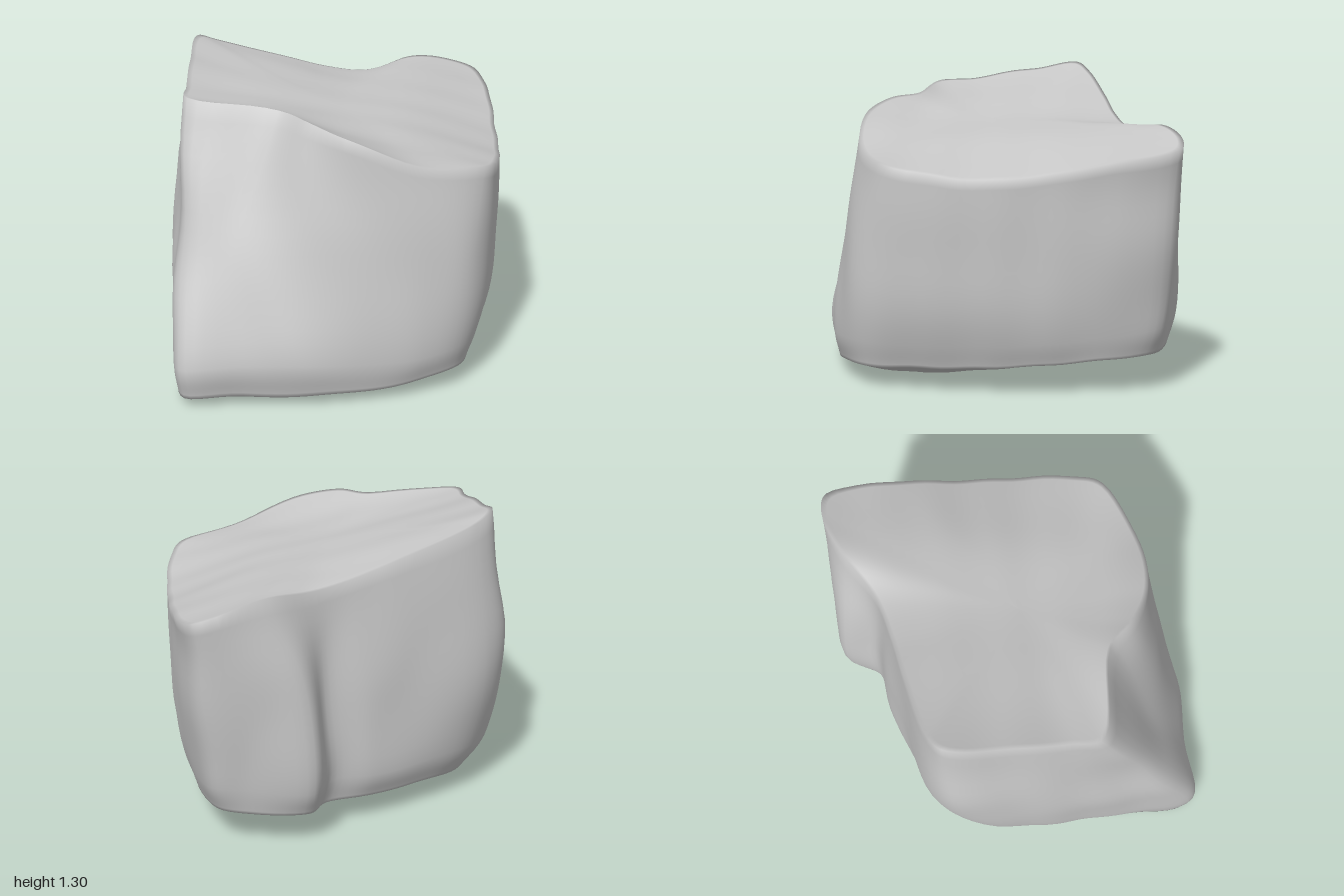
import * as THREE from 'three';

// Rock outline at four levels, front corner first, then round by +x, back and -x
const BASE = [
  [0, .045, .98], [.18, .05, .8], [.38, .06, .63], [.54, .07, .43], [.66, .09, .25], [.73, .1, .05], [.64, .11, -.15],
  [.49, .12, -.38], [.31, .14, -.6], [.13, .16, -.77], [-.05, .17, -.87], [-.19, .17, -.82], [-.37, .15, -.68],
  [-.35, .13, -.53], [-.45, .13, -.37], [-.55, .12, -.18], [-.63, .11, .06], [-.6, .1, .25], [-.46, .09, .48],
  [-.33, .08, .64], [-.17, .06, .83],
];
const LOW = [
  [0, .18, 1], [.2, .2, .82], [.4, .2, .65], [.56, .2, .44], [.69, .2, .25], [.76, .22, .05], [.67, .22, -.16],
  [.51, .23, -.4], [.33, .24, -.62], [.15, .26, -.79], [-.05, .28, -.92], [-.2, .28, -.84], [-.4, .26, -.7],
  [-.37, .24, -.53], [-.49, .24, -.37], [-.59, .24, -.18], [-.7, .24, .08], [-.68, .22, .28], [-.53, .22, .51],
  [-.37, .2, .67], [-.18, .2, .86],
];
const MID = [
  [-.13, .65, .83], [.06, .65, .71], [.3, .65, .57], [.52, .65, .39], [.68, .62, .21], [.775, .6, .02], [.73, .58, -.17],
  [.56, .57, -.42], [.37, .58, -.63], [.18, .6, -.82], [-.04, .6, -.955], [-.2, .6, -.87], [-.4, .6, -.69],
  [-.36, .6, -.53], [-.47, .62, -.38], [-.58, .65, -.2], [-.76, .65, .07], [-.77, .65, .23], [-.61, .65, .42],
  [-.45, .65, .58], [-.28, .65, .72],
];
const TOP = [
  [-.28, 1.22, .63], [.05, 1.19, .42], [.22, 1.18, .43], [.38, 1.13, .39], [.6, 1.01, .2], [.74, .965, -.06], [.7, .94, -.2],
  [.55, .91, -.42], [.38, .93, -.62], [.2, .98, -.82], [-.03, 1.03, -1], [-.13, 1.06, -.95], [-.24, 1.1, -.76],
  [-.31, 1.08, -.52], [-.41, 1.11, -.36], [-.53, 1.17, -.2], [-.7, 1.27, .06], [-.715, 1.3, .15], [-.6, 1.27, .3],
  [-.49, 1.25, .42], [-.38, 1.22, .54],
];
const AROUND = LOW.length * 6;
const UP = 24;

const closedLoop = (points) =>
  new THREE.CatmullRomCurve3(points.map((p) => new THREE.Vector3(...p)), true, 'centripetal');

// Lie of the sloping top, and of the underside that rises towards the back
const topHeight = (x, z) => 1.1 - .2 * x + .08 * z;
const underHeight = (x, z) => .015 + .19 * Math.max(0, -.05 - z);

// Gentle dents and bumps over the stone
function weather(p) {
  const wave = (f, a, b, c, s) =>
    Math.sin(f * (p.x * a + p.y * b + p.z * c) + s) * Math.sin(f * (p.x * c - p.y * a + p.z * b) + 2 * s);
  const rough = (s) => .009 * wave(7, 1, .4, -.6, s) + .004 * wave(12, .5, .7, .9, s + 1);
  return new THREE.Vector3(p.x + rough(.3), p.y + rough(1.7), p.z + rough(2.9));
}

// Ring drawn in from a rim, settling from the rim's own height to a surface
function capRing(rim, height, s) {
  return rim.map((p) => {
    const x = p.x * (1 - s);
    const z = p.z * (1 - s);
    const fade = (1 - s) ** 3;
    return new THREE.Vector3(x, height(x, z) + (p.y - height(p.x, p.z)) * fade, z);
  });
}

function rockGeometry() {
  const loops = [BASE, LOW, MID, TOP].map(closedLoop);
  const columns = Array.from({ length: AROUND }, (_, i) =>
    new THREE.CatmullRomCurve3(loops.map((l) => l.getPoint(i / AROUND)), false, 'centripetal'));
  const ringAt = (t) => columns.map((c) => c.getPoint(t));
  const insets = [.03, .08, .15, .23, .32, .42, .52, .62, .72, .82, .92, 1];

  // Underside from its middle to the rim, then the sides, then the top to its middle
  const rings = insets.map((s) => capRing(ringAt(0), underHeight, s)).reverse();
  for (let j = 0; j <= UP; j++) rings.push(ringAt(j / UP));
  for (const s of insets) rings.push(capRing(ringAt(1), topHeight, s));

  const positions = [];
  const indices = [];
  rings.forEach((ring, j) => ring.forEach((p, i) => {
    positions.push(...weather(p).toArray());
    if (j === rings.length - 1) return;
    const a = j * AROUND + i;
    const b = j * AROUND + (i + 1) % AROUND;
    if (j > 0) indices.push(a, b, b + AROUND);
    if (j < rings.length - 2) indices.push(a, b + AROUND, a + AROUND);
  }));

  const geometry = new THREE.BufferGeometry();
  geometry.setAttribute('position', new THREE.Float32BufferAttribute(positions, 3));
  geometry.setIndex(indices);

  // Stand on the ground, centred
  geometry.computeBoundingBox();
  const middle = geometry.boundingBox.getCenter(new THREE.Vector3());
  geometry.translate(-middle.x, -geometry.boundingBox.min.y, -middle.z);
  geometry.computeVertexNormals();
  return geometry;
}

export function createModel() {
  const stone = new THREE.MeshStandardMaterial({ color: 0xc6c6c6 });
  stone.name = 'grey stone';
  const rock = new THREE.Mesh(rockGeometry(), stone);
  rock.name = 'rock';
  const group = new THREE.Group();
  group.name = 'boulder';
  group.add(rock);
  return group;
}
